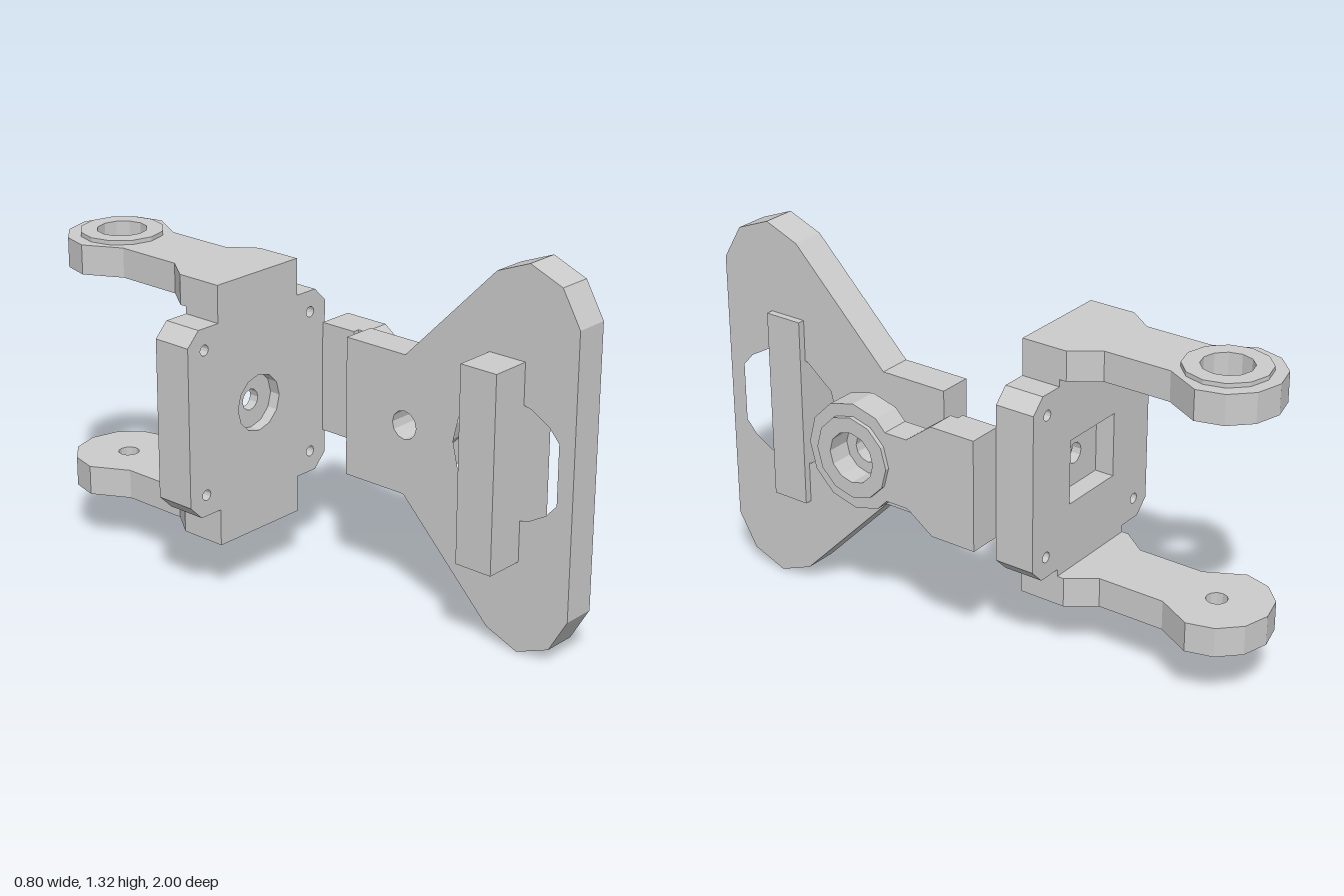
import * as THREE from 'three';

const material = new THREE.MeshStandardMaterial({ color: 0xcccccc, flatShading: true });

// Points of a regular polygon, or of an arc of one
function arc(cu, cv, r, from = 0, to = 330, step = 30) {
  const pts = [];
  for (let a = from; a <= to + 0.01; a += step) {
    const t = THREE.MathUtils.degToRad(a);
    pts.push([cu + r * Math.cos(t), cv + r * Math.sin(t)]);
  }
  return pts;
}

const vectors = (pts) => pts.map(([u, v]) => new THREE.Vector2(u, v));

// Extrudes an outline with holes between two positions along an axis.
// x: points are (-z, y); y: points are (x, -z); z: points are (x, y)
function slab(name, axis, from, to, outline, holes = []) {
  const shape = new THREE.Shape(vectors(outline));
  for (const h of holes) shape.holes.push(new THREE.Path(vectors(h)));
  const geo = new THREE.ExtrudeGeometry(shape, { depth: to - from, bevelEnabled: false });
  geo.translate(0, 0, from);
  if (axis === 'x') geo.rotateY(Math.PI / 2);
  if (axis === 'y') geo.rotateX(-Math.PI / 2);
  const mesh = new THREE.Mesh(geo, material);
  mesh.name = name;
  return mesh;
}

function box(name, x0, x1, y0, y1, z0, z1) {
  const mesh = new THREE.Mesh(new THREE.BoxGeometry(x1 - x0, y1 - y0, z1 - z0), material);
  mesh.position.set((x0 + x1) / 2, (y0 + y1) / 2, (z0 + z1) / 2);
  mesh.name = name;
  return mesh;
}

function group(name, ...parts) {
  const g = new THREE.Group();
  g.name = name;
  g.add(...parts);
  return g;
}

const CX = -0.07, CY = 0.66; // bracket centre

// Large flat plate with a round window, a cross bar and a pivot hole
function endPlate() {
  const mirrorY = (half) => [...half, ...half.map(([u, v]) => [u, 2 * CY - v]).reverse()];
  const outline = mirrorY([[-1, 1.15], [-0.93, 1.27], [-0.805, 1.32], [-0.68, 1.27], [-0.32, 0.905], [-0.07, 0.905]]);
  // the outline is walked across the top, then back along the bottom
  const window = mirrorY([[-0.94, 0.765], [-0.9, 0.81], [-0.83, 0.85], [-0.735, 0.87],
    [-0.65, 0.85], [-0.55, 0.77], [-0.525, CY + 0.005]]);
  return group('endPlate',
    slab('plate', 'x', 0.1, 0.22, outline, [window, arc(-0.32, CY, 0.05)]),
    box('crossBar', -0.045, 0.245, 0.32, 1.0, 0.66, 0.8));
}

// Side link that joins the plate pivot to the bracket
function sideLink() {
  const u = -0.32;
  const outline = [[0.05, 0.465], [0.05, 0.86], [0, 0.86], [-0.1, 0.785], [-0.187, 0.785],
    ...arc(u, CY, 0.19, 60, 300), [-0.187, 0.535], [-0.1, 0.535], [0, 0.465]];
  const bore = arc(u, CY, 0.09), hole = arc(u, CY, 0.05);
  return group('sideLink',
    box('linkBlock', 0.25, 0.38, 0.465, 0.86, -0.17, -0.03),
    slab('linkArmInner', 'x', 0.275, 0.31, outline, [hole]),
    slab('linkArmOuter', 'x', 0.31, 0.38, outline, [bore]),
    slab('outerBoss', 'x', 0.38, 0.395, arc(u, CY, 0.145), [bore]),
    slab('spacer', 'x', 0.22, 0.275, arc(u, CY, 0.12), [hole]));
}

// Back plate of the fork, in three layers to form its recesses
function forkPlate() {
  const quarter = [[0.33, 0], [0.33, 0.28], [0.28, 0.33], [0.19, 0.33], [0.19, 0.46]];
  const flip = (pts, sx, sy) => pts.map(([x, y]) => [x * sx, y * sy]);
  const outline = [
    ...quarter,
    ...flip(quarter, -1, 1).reverse(),
    ...flip(quarter, -1, -1).slice(1),
    ...flip(quarter, 1, -1).reverse().slice(0, -1),
  ].map(([x, y]) => [x + CX, y + CY]);
  const screws = [];
  for (const sx of [-1, 1]) for (const sy of [-1, 1]) screws.push(arc(CX + sx * 0.255, CY + sy * 0.255, 0.019));
  const square = [[-1, -1], [1, -1], [1, 1], [-1, 1]].map(([x, y]) => [CX + x * 0.125, CY + y * 0.115]);
  return group('forkPlate',
    slab('recessLayer', 'z', -0.315, -0.245, outline, [square, ...screws]),
    slab('webLayer', 'z', -0.245, -0.21, outline, [arc(CX, CY, 0.037), ...screws]),
    slab('frontLayer', 'z', -0.21, -0.17, outline, [arc(CX, CY, 0.1), ...screws]));
}

// Fork arm with a rounded eye and a raised boss
function forkArm(name, y0, y1, boss0, boss1, bossRadius, holeRadius) {
  const v = 0.81;
  const outline = [[CX + 0.19, 0.315], [CX + 0.19, 0.34], [CX + 0.12, 0.435], [CX + 0.12, 0.68],
    ...arc(CX, v, 0.19, 0, 180), [CX - 0.12, 0.68], [CX - 0.12, 0.435], [CX - 0.19, 0.34], [CX - 0.19, 0.315]];
  const hole = arc(CX, v, holeRadius);
  return group(name,
    slab('arm', 'y', y0, y1, outline, [hole]),
    slab('boss', 'y', boss0, boss1, arc(CX, v, bossRadius), [hole]));
}

export function createModel() {
  return group('bracketAssembly',
    endPlate(),
    sideLink(),
    forkPlate(),
    forkArm('upperForkArm', 1.015, 1.12, 1.12, 1.135, 0.145, 0.087),
    forkArm('lowerForkArm', 0.2, 0.305, 0.187, 0.2, 0.095, 0.037));
}
